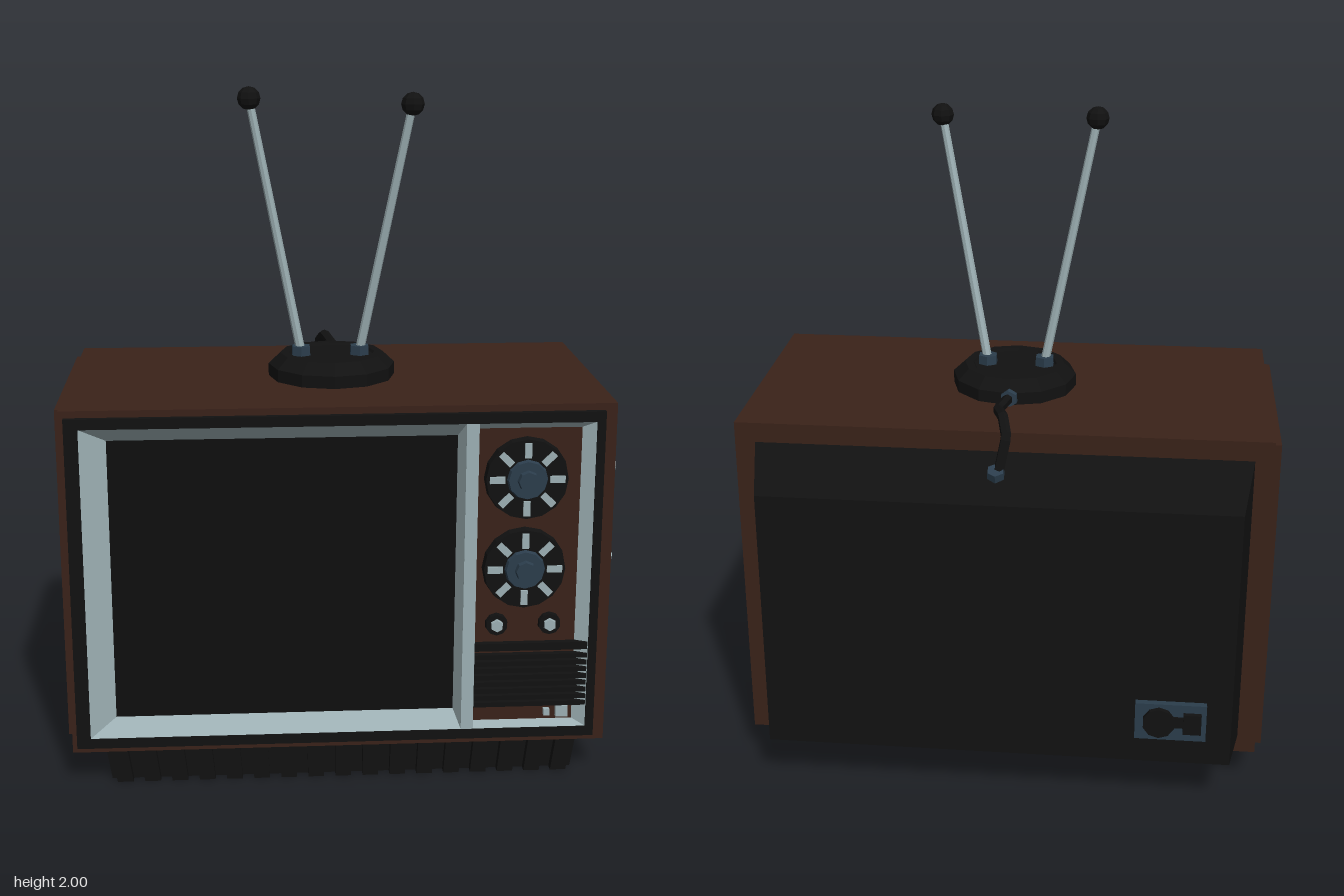
import * as THREE from 'three';

const mat = (color, extra = {}) => new THREE.MeshStandardMaterial({ color, flatShading: true, ...extra });

export function createModel() {
  const root = new THREE.Group();
  const wood = mat(0x3a2219), black = mat(0x111111), glass = mat(0x0e0e0e);
  const silver = mat(0x9db0b4), slate = mat(0x2b3d4c);

  const add = (name, geometry, material, parent = root) => {
    const mesh = new THREE.Mesh(geometry, material);
    mesh.name = name;
    parent.add(mesh);
    return mesh;
  };
  const group = (name) => {
    const g = new THREE.Group();
    g.name = name;
    root.add(g);
    return g;
  };
  // Box given by its limits; an optional rule moves its corners
  const box = (name, [x0, x1], [y0, y1], [z0, z1], material, parent, rule) => {
    const g = new THREE.BoxGeometry(x1 - x0, y1 - y0, z1 - z0);
    g.translate((x0 + x1) / 2, (y0 + y1) / 2, (z0 + z1) / 2);
    if (rule) {
      const p = g.attributes.position, v = new THREE.Vector3();
      for (let i = 0; i < p.count; i++) {
        rule(v.fromBufferAttribute(p, i));
        p.setXYZ(i, v.x, v.y, v.z);
      }
      g.computeVertexNormals();
    }
    return add(name, g, material, parent);
  };
  // Rectangular frame: outer and inner limits [x0, x1, y0, y1]
  const frame = (name, o, i, z0, z1, material) => {
    const corners = ([x0, x1, y0, y1]) => [[x0, y0], [x1, y0], [x1, y1], [x0, y1]].map((c) => new THREE.Vector2(...c));
    const shape = new THREE.Shape(corners(o));
    shape.holes.push(new THREE.Path(corners(i).reverse()));
    const g = new THREE.ExtrudeGeometry(shape, { depth: z1 - z0, bevelEnabled: false });
    return add(name, g.translate(0, 0, z0), material);
  };
  // Four sloping strips from an outer front rectangle to an inner, deeper one
  const bevel = (name, o, i, zo, zi) => {
    const ring = ([x0, x1, y0, y1], z) => [[x0, y0, z], [x1, y0, z], [x1, y1, z], [x0, y1, z]];
    const a = ring(o, zo), b = ring(i, zi), pos = [];
    for (let k = 0; k < 4; k++) {
      const n = (k + 1) % 4;
      pos.push(...a[k], ...a[n], ...b[n], ...a[k], ...b[n], ...b[k]);
    }
    const g = new THREE.BufferGeometry();
    g.setAttribute('position', new THREE.Float32BufferAttribute(pos, 3));
    g.computeVertexNormals();
    return add(name, g, mat(0x9db0b4, { side: THREE.DoubleSide }));
  };
  // Cylinder between two points
  const rod = (name, a, b, r0, r1, sides, material, parent) => {
    const p = new THREE.Vector3(...a), q = new THREE.Vector3(...b), d = q.clone().sub(p);
    const mesh = add(name, new THREE.CylinderGeometry(r1, r0, d.length(), sides), material, parent);
    mesh.position.copy(p).add(q).multiplyScalar(0.5);
    mesh.quaternion.setFromUnitVectors(new THREE.Vector3(0, 1, 0), d.normalize());
    return mesh;
  };

  // Cabinet with open front rim and a raised panel on one side
  box('cabinet', [-0.81, 0.76], [0.11, 1.145], [-0.33, 0.43], wood);
  frame('cabinetRim', [-0.81, 0.76, 0.11, 1.145], [-0.755, 0.7, 0.16, 1.095], 0.43, 0.472, wood);
  box('sidePanel', [-0.83, -0.81], [0.125, 1.125], [-0.3, 0.38], wood);
  frame('frontTrim', [-0.795, 0.725, 0.13, 1.125], [-0.755, 0.7, 0.16, 1.095], 0.472, 0.49, black);

  // Screen and its sloping surround
  bevel('screenSurround', [-0.755, 0.33, 0.16, 1.095], [-0.68, 0.31, 0.21, 1.05], 0.487, 0.445);
  box('screen', [-0.69, 0.32], [0.2, 1.06], [0.43, 0.446], glass);
  box('divider', [0.33, 0.366], [0.16, 1.095], [0.43, 0.488], silver);

  // Control panel
  bevel('controlSurround', [0.365, 0.7, 0.16, 1.095], [0.366, 0.66, 0.18, 1.075], 0.487, 0.468);
  box('controlPanel', [0.366, 0.665], [0.17, 1.085], [0.43, 0.469], wood);

  // Dials with eight marks and a grip
  for (const y of [0.93, 0.66]) {
    const dial = group('dial');
    dial.position.set(0.505, y, 0);
    rod('dialDisc', [0, 0, 0.465], [0, 0, 0.493], 0.122, 0.118, 16, black, dial);
    for (let k = 0; k < 8; k++) {
      const holder = new THREE.Group();
      holder.name = 'dialMark';
      holder.rotation.z = k * Math.PI / 4;
      dial.add(holder);
      box('mark', [0.064, 0.108], [-0.01, 0.01], [0.488, 0.499], silver, holder);
    }
    rod('dialHub', [0, 0, 0.49], [0, 0, 0.505], 0.06, 0.055, 12, slate, dial);
    rod('dialGrip', [0, 0, 0.5], [0, 0, 0.519], 0.032, 0.028, 8, slate, dial);
  }
  // Small knobs
  for (const x of [0.43, 0.585]) {
    rod('knobCollar', [x, 0.485, 0.465], [x, 0.485, 0.484], 0.034, 0.032, 10, black);
    rod('knob', [x, 0.485, 0.48], [x, 0.485, 0.495], 0.02, 0.018, 6, silver);
  }
  // Speaker grille and buttons
  box('grilleTop', [0.366, 0.698], [0.405, 0.428], [0.46, 0.488], black);
  for (let k = 0; k < 8; k++) {
    const y = 0.235 + k * 0.0215;
    box('grilleSlat', [0.366, 0.698], [y - 0.007, y + 0.007], [0.46, 0.488], black);
  }
  box('largeButton', [0.612, 0.648], [0.19, 0.224], [0.46, 0.485], silver);
  box('smallButton', [0.576, 0.594], [0.195, 0.215], [0.46, 0.485], silver);

  // Tapering rear housing
  box('rearHousing', [-0.755, 0.7], [0.165, 1.085], [-0.49, -0.33], black, root, (v) => {
    if (v.z < -0.4) {
      v.x += v.x < 0 ? 0.03 : -0.03;
      if (v.y > 0.6) v.y = 0.985;
    }
  });
  // Rear connector plate
  box('connectorPlate', [-0.65, -0.44], [0.255, 0.375], [-0.51, -0.485], slate);
  rod('roundConnector', [-0.51, 0.317, -0.505], [-0.51, 0.317, -0.525], 0.048, 0.048, 10, black);
  box('squareConnector', [-0.635, -0.582], [0.285, 0.35], [-0.525, -0.505], black);
  box('connectorBridge', [-0.59, -0.52], [0.3, 0.335], [-0.516, -0.505], black);

  // Plinth with a fluted front
  const taper = (v) => {
    if (v.y < 0.05) {
      v.x *= 0.975;
      if (v.z < 0) v.z += 0.012;
    }
  };
  box('plinth', [-0.72, 0.69], [0, 0.112], [-0.238, 0.425], black, root, taper);
  for (let k = 0; k < 17; k++) {
    const x = -0.72 + (k + 0.5) * 1.41 / 17;
    box('plinthRib', [x - 0.024, x + 0.024], [0, 0.112], [0.42, 0.45], black, root, taper);
  }

  // Side plate with four screws
  box('sidePlate', [0.758, 0.803], [0.55, 0.92], [0.005, 0.238], black);
  for (const y of [0.592, 0.88]) for (const z of [0.048, 0.198]) {
    rod('screwCollar', [0.8, y, z], [0.818, y, z], 0.034, 0.03, 8, black);
    rod('screw', [0.815, y, z], [0.826, y, z], 0.018, 0.016, 6, silver);
  }

  // Aerial: faceted foot, two rods with ball tips
  const foot = [[0, 1.145], [0.19, 1.145], [0.19, 1.182], [0.155, 1.215], [0.13, 1.215], [0.125, 1.208], [0, 1.208]];
  add('aerialFoot', new THREE.LatheGeometry(foot.map((p) => new THREE.Vector2(...p)), 12), black).position.set(-0.028, 0, 0.075);
  for (const [a, b] of [[[-0.12, 1.215, 0.08], [-0.267, 1.97, 0.1]], [[0.056, 1.215, 0.08], [0.2, 1.957, 0.175]]]) {
    rod('aerialSocket', [a[0], 1.2, a[2]], [a[0], 1.236, a[2]], 0.032, 0.03, 6, slate);
    rod('aerialRod', a, b, 0.014, 0.012, 8, silver);
    add('aerialTip', new THREE.SphereGeometry(0.034, 8, 6), black).position.set(...b);
  }

  // Cable from the foot to the rear housing
  const path = new THREE.CurvePath();
  const pts = [[-0.03, 1.168, -0.1], [-0.005, 1.168, -0.21], [-0.03, 1.187, -0.315], [-0.045, 1.15, -0.372], [-0.025, 1.045, -0.4]]
    .map((p) => new THREE.Vector3(...p));
  for (let k = 0; k < 4; k++) path.add(new THREE.LineCurve3(pts[k], pts[k + 1]));
  add('cable', new THREE.TubeGeometry(path, 24, 0.016, 6), black);
  rod('cablePlug', [-0.03, 1.168, -0.1], [-0.028, 1.168, -0.125], 0.026, 0.026, 6, slate);
  rod('cableJack', [-0.018, 1.02, -0.392], [-0.018, 1.06, -0.408], 0.03, 0.026, 6, slate);

  return root;
}
